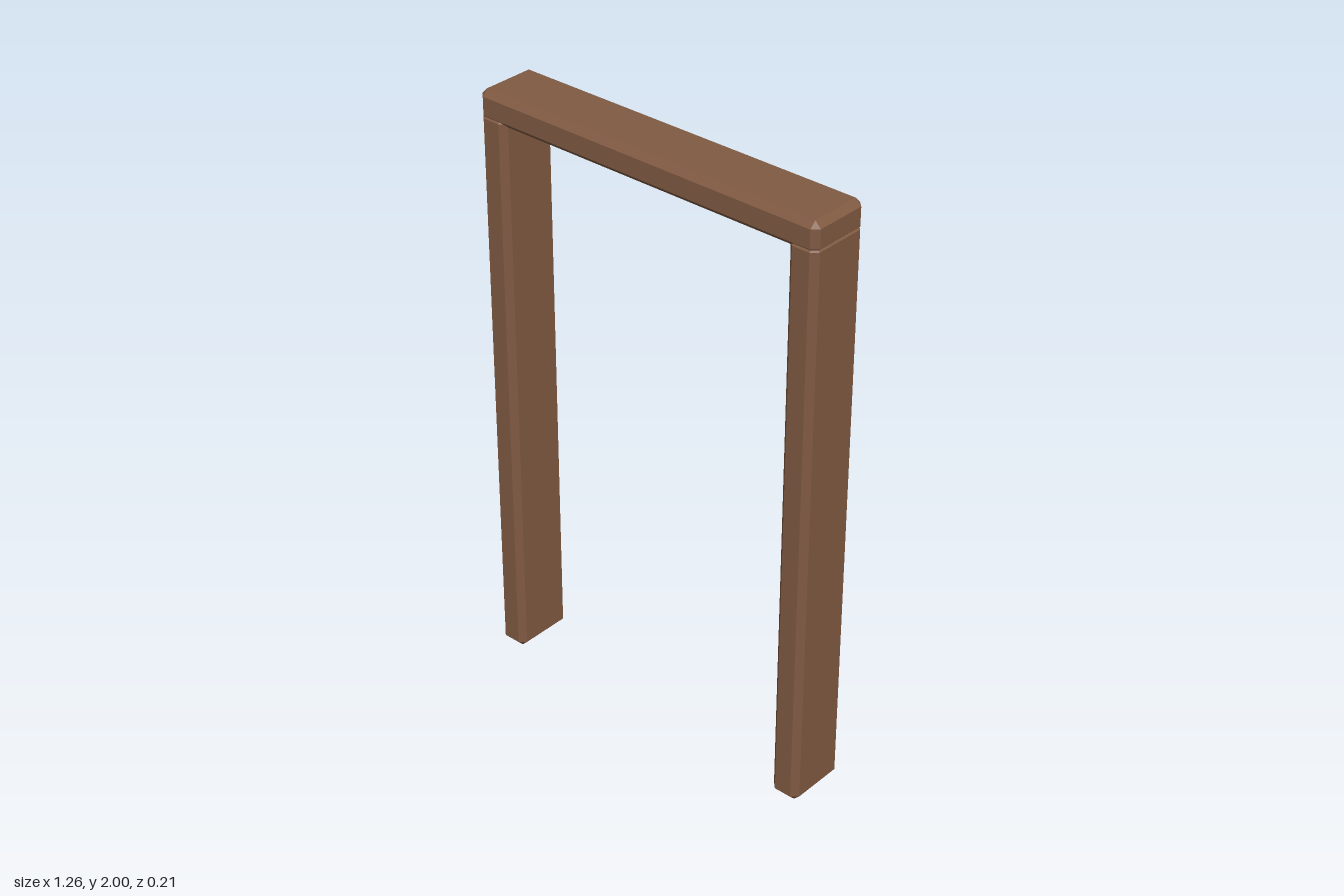
import * as THREE from 'three';
import { ConvexGeometry } from 'three/addons/geometries/ConvexGeometry.js';

const BEVEL = 0.02;

// Box with every edge and corner chamfered, centred on its origin
function chamferedBox(w, h, d) {
  const half = [w / 2, h / 2, d / 2];
  const points = [];
  for (const sx of [-1, 1]) for (const sy of [-1, 1]) for (const sz of [-1, 1]) {
    // three points per corner, each lying on one of the outer faces
    for (let axis = 0; axis < 3; axis++) {
      const [x, y, z] = half.map((v, i) => (i === axis ? v : v - BEVEL));
      points.push(new THREE.Vector3(sx * x, sy * y, sz * z));
    }
  }
  return new ConvexGeometry(points);
}

export function createModel() {
  const model = new THREE.Group();
  model.name = 'doorFrame';
  const wood = new THREE.MeshStandardMaterial({ color: 0x805a42, flatShading: true });

  const width = 1.26, depth = 0.212, thickness = 0.1;
  const postHeight = 1.93; // posts run slightly into the lintel

  const addBeam = (name, w, h, x, y) => {
    const mesh = new THREE.Mesh(chamferedBox(w, h, depth), wood);
    mesh.name = name;
    mesh.position.set(x, y, 0);
    model.add(mesh);
  };

  // Lintel across the top
  addBeam('lintel', width, thickness, 0, 2 - thickness / 2);

  // Mirrored side posts
  for (const side of [-1, 1]) {
    addBeam(side > 0 ? 'leftPost' : 'rightPost', thickness, postHeight,
      side * (width - thickness) / 2, postHeight / 2);
  }

  return model;
}
